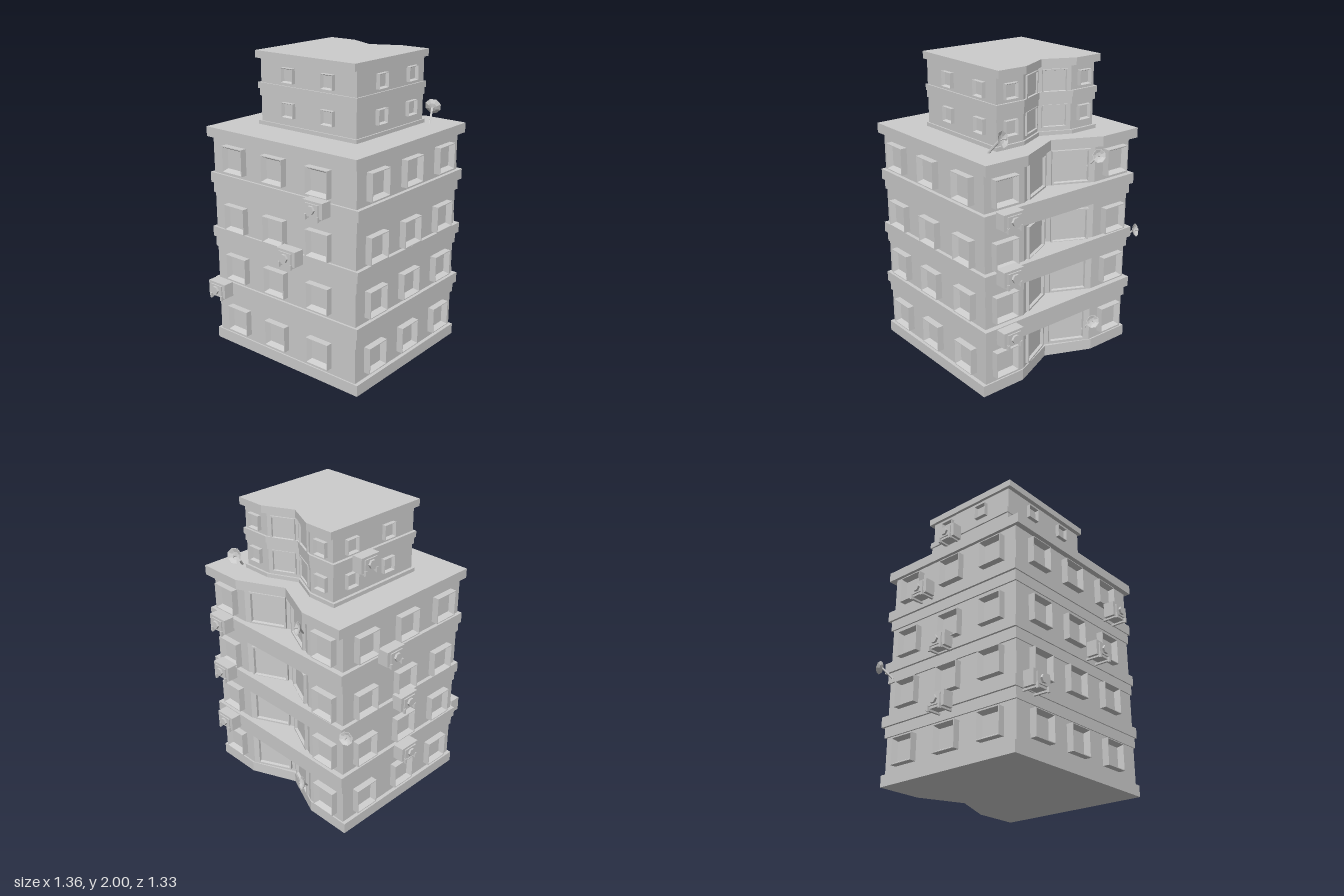
import * as THREE from 'three';

const grey = new THREE.MeshStandardMaterial({ color: 0xcccccc, flatShading: true });
const thin = new THREE.MeshStandardMaterial({ color: 0xcccccc, flatShading: true, side: THREE.DoubleSide });
const CX = 0.04; // middle of the V notch in the back

function add(parent, name, geometry, x = 0, y = 0, z = 0, material = grey) {
  const mesh = new THREE.Mesh(geometry, material);
  mesh.name = name;
  mesh.position.set(x, y, z);
  parent.add(mesh);
  return mesh;
}

// Storey or slab: rectangle with an optional V notch in the back, raised from y0 to y1
function storey(parent, name, y0, y1, [x0, x1, zBack, zFront], half, zNotch) {
  const pts = [[x0, zFront], [x1, zFront], [x1, zBack]];
  if (half) pts.push([CX + half, zBack], [CX, zNotch], [CX - half, zBack]);
  pts.push([x0, zBack]);
  const shape = new THREE.Shape(pts.map(([x, z]) => new THREE.Vector2(x, -z)));
  const geo = new THREE.ExtrudeGeometry(shape, { depth: y1 - y0, bevelEnabled: false });
  geo.rotateX(-Math.PI / 2);
  add(parent, name, geo, 0, y0, 0);
}

// Box frame whose inside slopes back to a sunken pane, facing +z
function frameGeometry(w, h, depth, rim, slope, sink) {
  const k = Math.SQRT1_2;
  const profile = [
    [k, -0.01], [k, depth], [k * (1 - rim), depth],
    [k * (1 - rim - slope), depth - sink], [0, depth - sink],
  ].map(([r, y]) => new THREE.Vector2(r, y));
  const geo = new THREE.LatheGeometry(profile, 4);
  geo.rotateY(Math.PI / 4);
  geo.rotateX(Math.PI / 2);
  geo.scale(w, h, 1);
  return geo;
}

// Windows on the four sides of one floor
function windows(parent, geo, y, [x0, x1, zBack, zFront], front, side, back) {
  const place = (x, z, turn) => { add(parent, 'window', geo, x, y, z).rotation.y = turn; };
  front.forEach((x) => place(x, zFront, 0));
  back.forEach((x) => place(x, zBack, Math.PI));
  side.forEach((z) => {
    place(x1, z, Math.PI / 2);
    place(x0, z, -Math.PI / 2);
  });
}

// Large panes on the two walls of the notch
function notchPanes(parent, geo, y, zBack, half, zNotch) {
  for (const s of [-1, 1]) {
    const pane = add(parent, 'notchPane', geo, CX + s * half / 2, y, (zBack + zNotch) / 2);
    pane.rotation.y = Math.atan2(-s * (zNotch - zBack), -half);
  }
}

// Air conditioner with its back at the local origin, facing +z
function airConditioner(parent, x, y, z, turn) {
  const unit = new THREE.Group();
  unit.name = 'airConditioner';
  add(unit, 'case', new THREE.BoxGeometry(0.15, 0.1, 0.075), 0, 0.01, 0.04);
  add(unit, 'grille', new THREE.BoxGeometry(0.1, 0.07, 0.012), 0, 0.01, 0.08);
  const fan = new THREE.CylinderGeometry(0.028, 0.028, 0.025, 6);
  fan.rotateX(Math.PI / 2);
  fan.rotateZ(Math.PI / 2);
  add(unit, 'fan', fan, 0, 0.01, 0.088);
  for (const s of [-1, 1]) {
    add(unit, 'bracketArm', new THREE.BoxGeometry(0.014, 0.014, 0.11), s * 0.048, -0.045, 0.035);
    add(unit, 'bracketEnd', new THREE.BoxGeometry(0.014, 0.035, 0.014), s * 0.048, -0.04, 0.085);
  }
  unit.position.set(x, y, z);
  unit.rotation.y = turn;
  parent.add(unit);
}

// Satellite dish on a slanted arm, opening along the given direction
function satelliteDish(parent, base, head, facing, radius) {
  const dish = new THREE.Group();
  dish.name = 'satelliteDish';
  const a = new THREE.Vector3(...base);
  const b = new THREE.Vector3(...head);
  add(dish, 'arm', new THREE.TubeGeometry(new THREE.LineCurve3(a, b), 1, radius * 0.14, 6), 0, 0, 0, thin);
  const bowl = new THREE.Group();
  bowl.name = 'bowl';
  const profile = [[0, 0], [0.55, 0.12], [1, 0.42], [0.92, 0.42], [0.5, 0.2], [0, 0.1]];
  const shell = new THREE.LatheGeometry(profile.map(([r, y]) => new THREE.Vector2(r * radius, y * radius)), 8);
  add(bowl, 'shell', shell, 0, 0, 0, thin);
  add(bowl, 'feed', new THREE.CylinderGeometry(radius * 0.08, radius * 0.08, radius * 0.75, 6), 0, radius * 0.4, 0);
  add(bowl, 'feedTip', new THREE.CylinderGeometry(radius * 0.16, radius * 0.16, radius * 0.15, 6), 0, radius * 0.8, 0);
  bowl.position.copy(b);
  bowl.quaternion.setFromUnitVectors(new THREE.Vector3(0, 1, 0), new THREE.Vector3(...facing).normalize());
  dish.add(bowl);
  parent.add(dish);
}

export function createModel() {
  const model = new THREE.Group();
  model.name = 'apartmentBuilding';

  // Lower block: notched walls, straight balcony bands across the notch
  const lower = new THREE.Group();
  lower.name = 'lowerBlock';
  model.add(lower);
  const wall = [-0.55, 0.63, -0.54, 0.525];
  storey(lower, 'walls', 0.07, 1.46, wall, 0.29, -0.4);
  storey(lower, 'baseSlab', 0, 0.075, [-0.575, 0.655, -0.55, 0.535], 0.3, -0.42);
  for (const y of [0.32, 0.69, 1.07]) {
    storey(lower, 'bandLower', y, y + 0.07, [-0.56, 0.64, -0.555, 0.532]);
    storey(lower, 'bandUpper', y + 0.07, y + 0.14, [-0.575, 0.655, -0.575, 0.54]);
  }
  storey(lower, 'roofSlab', 1.455, 1.52, [-0.572, 0.655, -0.592, 0.562], 0.305, -0.447);
  const bigWindow = frameGeometry(0.175, 0.175, 0.045, 0.06, 0.2, 0.035);
  const bigPane = frameGeometry(0.25, 0.22, 0.02, 0.1, 0.04, 0.018);
  for (const y of [0.205, 0.582, 0.932, 1.328]) {
    windows(lower, bigWindow, y, wall, [-0.345, -0.003, 0.357], [0.347, 0, -0.36], [-0.41, 0.49]);
    notchPanes(lower, bigPane, y, wall[2], 0.29, -0.4);
  }

  // Upper block: every level follows the notch
  const upper = new THREE.Group();
  upper.name = 'upperBlock';
  model.add(upper);
  const topWall = [-0.34, 0.435, -0.41, 0.285];
  storey(upper, 'walls', 1.52, 1.96, topWall, 0.19, -0.32);
  storey(upper, 'baseSlab', 1.52, 1.545, [-0.36, 0.445, -0.425, 0.295], 0.195, -0.335);
  storey(upper, 'bandLower', 1.71, 1.755, [-0.35, 0.44, -0.418, 0.29], 0.193, -0.328);
  storey(upper, 'bandUpper', 1.755, 1.795, [-0.36, 0.445, -0.425, 0.295], 0.195, -0.335);
  storey(upper, 'roofSlab', 1.953, 2, [-0.36, 0.445, -0.445, 0.315], 0.198, -0.35);
  const smallWindow = frameGeometry(0.095, 0.095, 0.027, 0.06, 0.16, 0.022);
  const smallPane = frameGeometry(0.16, 0.145, 0.012, 0.1, 0.04, 0.011);
  for (const y of [1.645, 1.865]) {
    windows(upper, smallWindow, y, topWall, [-0.098, 0.222], [0.05, -0.265], [-0.25, 0.335]);
    notchPanes(upper, smallPane, y - 0.005, topWall[2], 0.19, -0.32);
  }

  // Air conditioners on the front, back and right walls
  const units = [
    [0.39, 1.18, 0.56, 0], [0.172, 0.82, 0.56, 0], [-0.46, 0.42, 0.56, 0],
    [0.495, 1.16, -0.57, Math.PI], [0.495, 0.8, -0.57, Math.PI], [0.495, 0.395, -0.57, Math.PI],
    [-0.585, 1.22, -0.205, -Math.PI / 2], [-0.565, 0.81, -0.04, -Math.PI / 2],
    [-0.575, 0.41, -0.02, -Math.PI / 2], [-0.36, 1.75, -0.2, -Math.PI / 2],
  ];
  units.forEach((u) => airConditioner(model, ...u));

  // Satellite dishes on the roof, the right wall and beside the notch
  satelliteDish(model, [0.495, 1.52, -0.41], [0.465, 1.61, -0.48], [-0.3, 0.3, -0.9], 0.055);
  satelliteDish(model, [-0.57, 0.71, -0.5], [-0.61, 0.79, -0.565], [-0.35, 0.3, -0.9], 0.045);
  for (const y of [1.32, 0.16]) {
    satelliteDish(model, [-0.2, y, -0.52], [-0.235, y + 0.075, -0.58], [0.4, 0.3, -0.85], 0.045);
  }
  return model;
}
